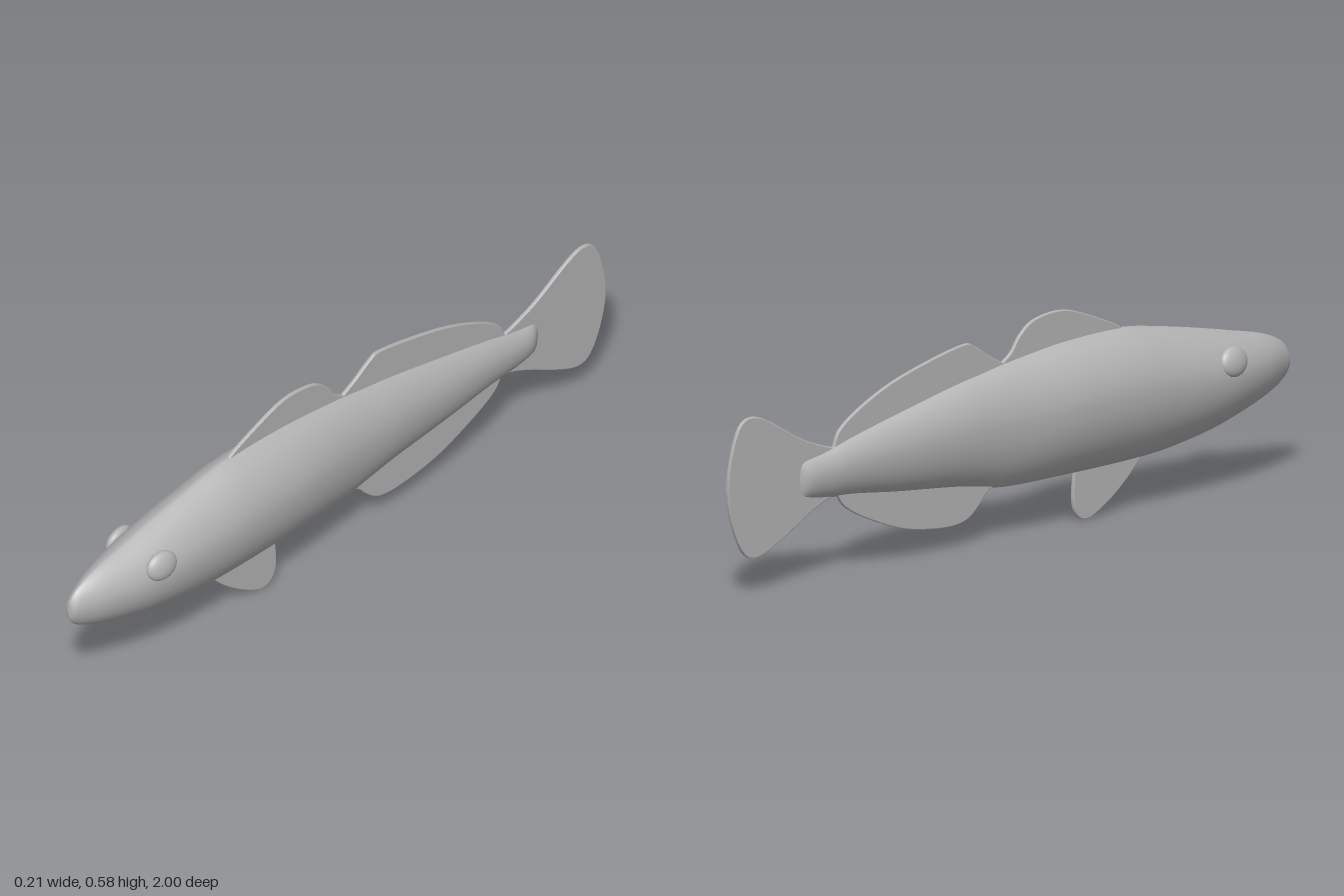
import * as THREE from 'three';

const skin = new THREE.MeshStandardMaterial({ color: 0xb4b4b4 });
skin.name = 'greySkin';

// Body stations from nose to tail: [z, top, bottom, half width]
const STATIONS = [
  [1, 0.312, 0.306, 0], [0.993, 0.345, 0.278, 0.016], [0.965, 0.373, 0.252, 0.03],
  [0.9, 0.4, 0.222, 0.055], [0.8, 0.424, 0.19, 0.08], [0.7, 0.447, 0.165, 0.094],
  [0.55, 0.478, 0.142, 0.102], [0.4, 0.501, 0.135, 0.105], [0.2, 0.499, 0.134, 0.097],
  [0, 0.478, 0.137, 0.076], [-0.1, 0.462, 0.152, 0.068], [-0.2, 0.446, 0.168, 0.062],
  [-0.4, 0.405, 0.19, 0.049], [-0.55, 0.372, 0.21, 0.038], [-0.65, 0.346, 0.217, 0.03],
  [-0.71, 0.336, 0.226, 0.024], [-0.74, 0.328, 0.236, 0.009], [-0.75, 0.285, 0.28, 0],
];

// Lofted body with a slightly pointed crest and keel
function bodyGeometry(rings = 120, sides = 48) {
  const profile = new THREE.CatmullRomCurve3(
    STATIONS.map(([z, t, b]) => new THREE.Vector3(z, t, b)), false, 'catmullrom');
  const width = new THREE.CatmullRomCurve3(
    STATIONS.map(([z, , , w]) => new THREE.Vector3(z, w, 0)), false, 'catmullrom');
  const pos = [], index = [];
  for (let i = 0; i <= rings; i++) {
    const p = profile.getPoint(i / rings);
    const w = Math.max(0, width.getPoint(i / rings).y);
    const mid = p.z + (p.y - p.z) * 0.55;
    for (let j = 0; j < sides; j++) {
      const a = (j / sides) * Math.PI * 2, c = Math.cos(a), s = Math.sin(a);
      const x = w * Math.sign(c) * Math.pow(Math.abs(c), 1.4);
      pos.push(x, mid + s * (s > 0 ? p.y - mid : mid - p.z), p.x);
      if (i < rings) {
        const k = (j + 1) % sides, r = i * sides, n = r + sides;
        index.push(r + j, n + j, r + k, r + k, n + j, n + k);
      }
    }
  }
  const g = new THREE.BufferGeometry();
  g.setAttribute('position', new THREE.Float32BufferAttribute(pos, 3));
  g.setIndex(index);
  g.computeVertexNormals();
  return g;
}

// Thin fin in the middle plane: a smooth outer edge, closed by root points inside the body
function fin(name, edge, root) {
  const toV = ([z, y]) => new THREE.Vector2(z, y);
  const outline = new THREE.SplineCurve(edge.map(toV)).getPoints(60);
  const shape = new THREE.Shape([...outline, ...root.map(toV)]);
  const g = new THREE.ExtrudeGeometry(shape, {
    depth: 0.006, bevelEnabled: true, bevelThickness: 0.003, bevelSize: 0.003,
    bevelOffset: -0.003, bevelSegments: 2,
  });
  g.translate(0, 0, -0.003);
  g.rotateY(-Math.PI / 2);
  const mesh = new THREE.Mesh(g, skin);
  mesh.name = name;
  return mesh;
}

export function createModel() {
  const fish = new THREE.Group();
  fish.name = 'fish';

  const body = new THREE.Mesh(bodyGeometry(), skin);
  body.name = 'body';
  fish.add(body);

  // Bulging eyes, leaning with the sides of the head
  for (const side of [1, -1]) {
    const eye = new THREE.Mesh(new THREE.SphereGeometry(1, 32, 20), skin);
    eye.name = side > 0 ? 'leftEye' : 'rightEye';
    eye.scale.set(0.021, 0.041, 0.049);
    eye.position.set(side * 0.08, 0.365, 0.733);
    eye.rotation.set(0, -side * 0.1, side * 0.2);
    fish.add(eye);
  }

  fish.add(
    fin('frontDorsalFin', [[0.41, 0.495], [0.38, 0.515], [0.3, 0.55], [0.22, 0.579], [0.155, 0.585],
      [0.085, 0.572], [0.04, 0.54], [0.01, 0.5], [-0.025, 0.475]], [[-0.02, 0.42], [0.38, 0.44]]),
    fin('rearDorsalFin', [[-0.005, 0.47], [-0.03, 0.483], [-0.07, 0.506], [-0.12, 0.539], [-0.16, 0.55],
      [-0.29, 0.525], [-0.42, 0.489], [-0.53, 0.441], [-0.6, 0.395], [-0.622, 0.352]],
      [[-0.61, 0.31], [-0.02, 0.42]]),
    fin('analFin', [[-0.05, 0.15], [-0.08, 0.132], [-0.11, 0.1], [-0.155, 0.07], [-0.235, 0.064],
      [-0.37, 0.085], [-0.5, 0.135], [-0.58, 0.18], [-0.61, 0.22]], [[-0.6, 0.26], [-0.06, 0.2]]),
    fin('pelvicFin', [[0.475, 0.14], [0.42, 0.085], [0.355, 0.036], [0.285, 0.002], [0.245, 0.016],
      [0.23, 0.06], [0.235, 0.14]], [[0.24, 0.18], [0.46, 0.18]]),
    fin('tailFin', [[-0.62, 0.35], [-0.66, 0.362], [-0.74, 0.395], [-0.85, 0.46], [-0.91, 0.482],
      [-0.955, 0.465], [-0.985, 0.395], [-1, 0.3], [-0.985, 0.205], [-0.945, 0.118], [-0.895, 0.097],
      [-0.815, 0.128], [-0.72, 0.18], [-0.66, 0.208], [-0.62, 0.22]], [[-0.6, 0.28]]),
  );
  return fish;
}
